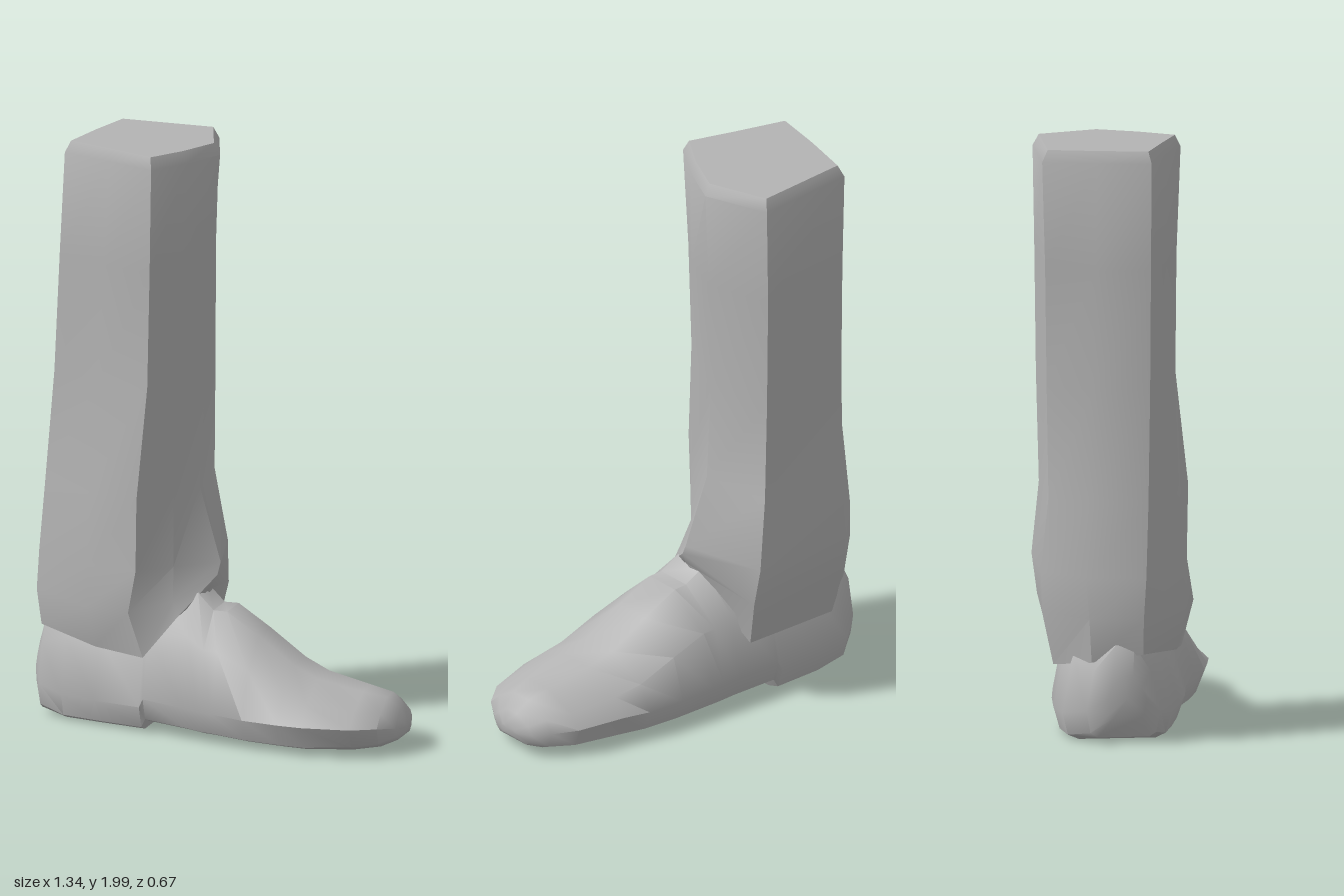
import * as THREE from 'three';
import { toCreasedNormals } from 'three/addons/utils/BufferGeometryUtils.js';

// Skin closed rings of [x, y, z] points; both ends are closed with a fan.
function loft(rings, crease) {
  const n = rings[0].length, pos = rings.flat(2), idx = [];
  rings.slice(1).forEach((_, r) => {
    for (let j = 0; j < n; j++) {
      const a = r * n + j, b = r * n + (j + 1) % n;
      idx.push(a, b, b + n, a, b + n, a + n);
    }
  });
  [0, rings.length - 1].forEach((r, end) => {
    const centre = [0, 1, 2].map(k => rings[r].reduce((s, p) => s + p[k], 0) / n);
    const c = pos.length / 3;
    pos.push(...centre);
    for (let j = 0; j < n; j++) {
      const a = r * n + j, b = r * n + (j + 1) % n;
      if (end) idx.push(a, b, c); else idx.push(b, a, c);
    }
  });
  const g = new THREE.BufferGeometry();
  g.setAttribute('position', new THREE.Float32BufferAttribute(pos, 3));
  g.setIndex(idx);
  return toCreasedNormals(g, crease);
}

// Trouser leg outlines [x, z] by height, starting at the front ridge, going round by +x.
const hemY = [0.27, 0.41, 0.48, 0.25, 0.25, 0.28, 0.31, 0.285];
const legRings = [
  [0, [[-.24, .17], [-.13, .13], [-.06, 0], [-.12, -.25], [-.46, -.29], [-.62, -.18], [-.655, -.01], [-.42, .13]]],
  [0.43, [[-.28, .205], [-.15, .12], [-.035, -.01], [-.09, -.3], [-.48, -.33], [-.64, -.19], [-.672, -.01], [-.44, .16]]],
  [0.57, [[-.26, .185], [-.16, .08], [-.03, -.03], [-.1, -.32], [-.48, -.335], [-.63, -.2], [-.66, 0], [-.44, .15]]],
  [0.82, [[-.255, .19], [-.16, .08], [-.11, -.05], [-.14, -.3], [-.49, -.31], [-.61, -.19], [-.635, .01], [-.44, .14]]],
  [1.2, [[-.23, .15], [-.15, .06], [-.1, -.08], [-.14, -.31], [-.48, -.315], [-.58, -.17], [-.6, .02], [-.42, .1]]],
  [1.6, [[-.22, .155], [-.14, .055], [-.08, -.09], [-.14, -.315], [-.48, -.32], [-.555, -.16], [-.58, .025], [-.4, .1]]],
  [1.96, [[-.21, .17], [-.125, .045], [-.055, -.1], [-.13, -.32], [-.48, -.33], [-.525, -.15], [-.56, .03], [-.38, .1]]],
];

function legGeometry() {
  const rings = legRings.map(([y, pts]) =>
    pts.map(([x, z], j) => [x, y ? Math.max(y, hemY[j] + 0.05) : hemY[j], z]));
  // rounded top edge
  rings.push(legRings[6][1].map(([x, z]) => [-.32 + (x + .32) * .92, 2, -.08 + (z + .08) * .92]));
  return loft(rings, 0.75);
}

// Shoe stations: x, bottom y, top y, min z, max z, ridge z
const stations = [
  [-.672, .1, .24, -.13, .0, -.06],
  [-.645, .03, .34, -.2, .05, -.07],
  [-.55, .01, .4, -.27, .1, -.07],
  [-.42, .01, .42, -.285, .14, -.06],
  [-.25, .01, .46, -.27, .18, -.04],
  [-.235, .04, .46, -.265, .185, -.04],
  [-.08, .035, .48, -.24, .235, 0],
  [-.02, .03, .43, -.23, .25, .02],
  [.03, .03, .43, -.225, .265, .02],
  [.15, .025, .36, -.205, .295, .04],
  [.28, .025, .275, -.18, .32, .06],
  [.37, .027, .24, -.15, .335, .08],
  [.53, .033, .21, -.1, .3, .1],
  [.61, .04, .195, -.05, .245, .1],
  [.655, .055, .155, .0, .18, .1],
  [.672, .075, .115, .06, .13, .1],
];

function shoeGeometry() {
  const mix = THREE.MathUtils.lerp;
  return loft(stations.map(([x, b, t, z0, z1, zt]) => {
    const wide = b + Math.min(.09, (t - b) * .45), zc = (z0 + z1) / 2;
    return [
      [x, t, mix(zt, z1, .25)],
      [x, mix(b, t, .72), mix(zt, z1, .72)],
      [x, wide, z1],
      [x, b + .015, mix(zc, z1, .88)],
      [x, b, mix(zc, z1, .7)],
      [x, b, mix(zc, z0, .7)],
      [x, b + .015, mix(zc, z0, .9)],
      [x, wide, z0],
      [x, mix(b, t, .72), mix(zt, z0, .82)],
      [x, t, mix(zt, z0, .25)],
    ];
  }), 0.8);
}

export function createModel() {
  const model = new THREE.Group();
  model.name = 'bootedLeg';
  const grey = new THREE.MeshStandardMaterial({ color: 0xb4b4b4 });
  grey.name = 'plain grey';
  const add = (name, geometry) => {
    const mesh = new THREE.Mesh(geometry, grey);
    mesh.name = name;
    model.add(mesh);
    return mesh;
  };
  add('trouserLeg', legGeometry());
  add('shoe', shoeGeometry());
  // ankle hidden inside the hem
  add('ankle', new THREE.CylinderGeometry(.12, .15, .3, 10)).position.set(-.23, .4, -.06);
  return model;
}
